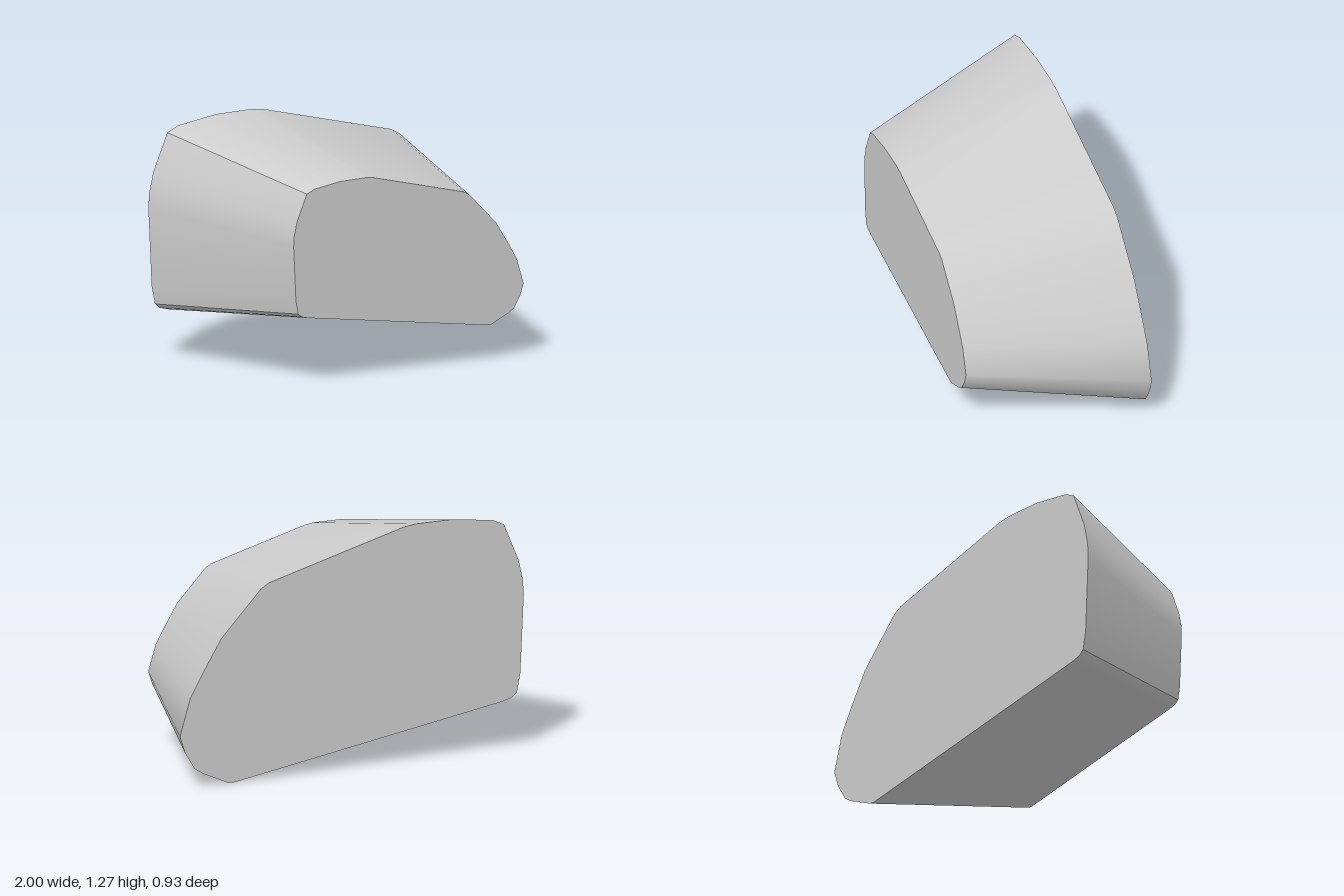
import * as THREE from 'three';
import { toCreasedNormals } from 'three/addons/utils/BufferGeometryUtils.js';

const DEPTH = 0.93;
const FRONT_SCALE = 0.7;

// Outline of the large back face
const OUTLINE = [
  [-0.885, 1.21], [-0.82, 1.24], [-0.59, 1.27], [-0.37, 1.27], [-0.30, 1.26],
  [0.48, 1.05], [0.53, 1.02], [0.76, 0.78], [0.865, 0.61], [0.94, 0.48],
  [1.0, 0.28], [0.97, 0.19], [0.915, 0.10], [0.87, 0.07], [0.72, 0.003],
  [0.69, 0], [-0.875, 0.26], [-0.93, 0.275], [-0.96, 0.30], [-0.98, 0.40],
  [-1.0, 0.82], [-0.995, 0.90], [-0.97, 1.01],
];

export function createModel() {
  const group = new THREE.Group();
  group.name = 'taperedBlock';

  const grey = new THREE.MeshStandardMaterial({ color: 0xcccccc });
  grey.name = 'light grey';

  // Solid block, straight from back to front
  const shape = new THREE.Shape(OUTLINE.map(([x, y]) => new THREE.Vector2(x, y)));
  const solid = new THREE.ExtrudeGeometry(shape, { depth: DEPTH, steps: 1, bevelEnabled: false });
  solid.translate(0, 0, -DEPTH / 2);

  // Shrink the front face so the sides taper
  const pos = solid.attributes.position;
  for (let i = 0; i < pos.count; i++) {
    if (pos.getZ(i) > 0) {
      pos.setX(i, pos.getX(i) * FRONT_SCALE + 0.02);
      pos.setY(i, pos.getY(i) * FRONT_SCALE + 0.195);
    }
  }

  // Smooth the rounded sides, keep the front and back rims sharp
  const body = new THREE.Mesh(toCreasedNormals(solid, 0.6), grey);
  body.name = 'body';
  group.add(body);
  return group;
}
